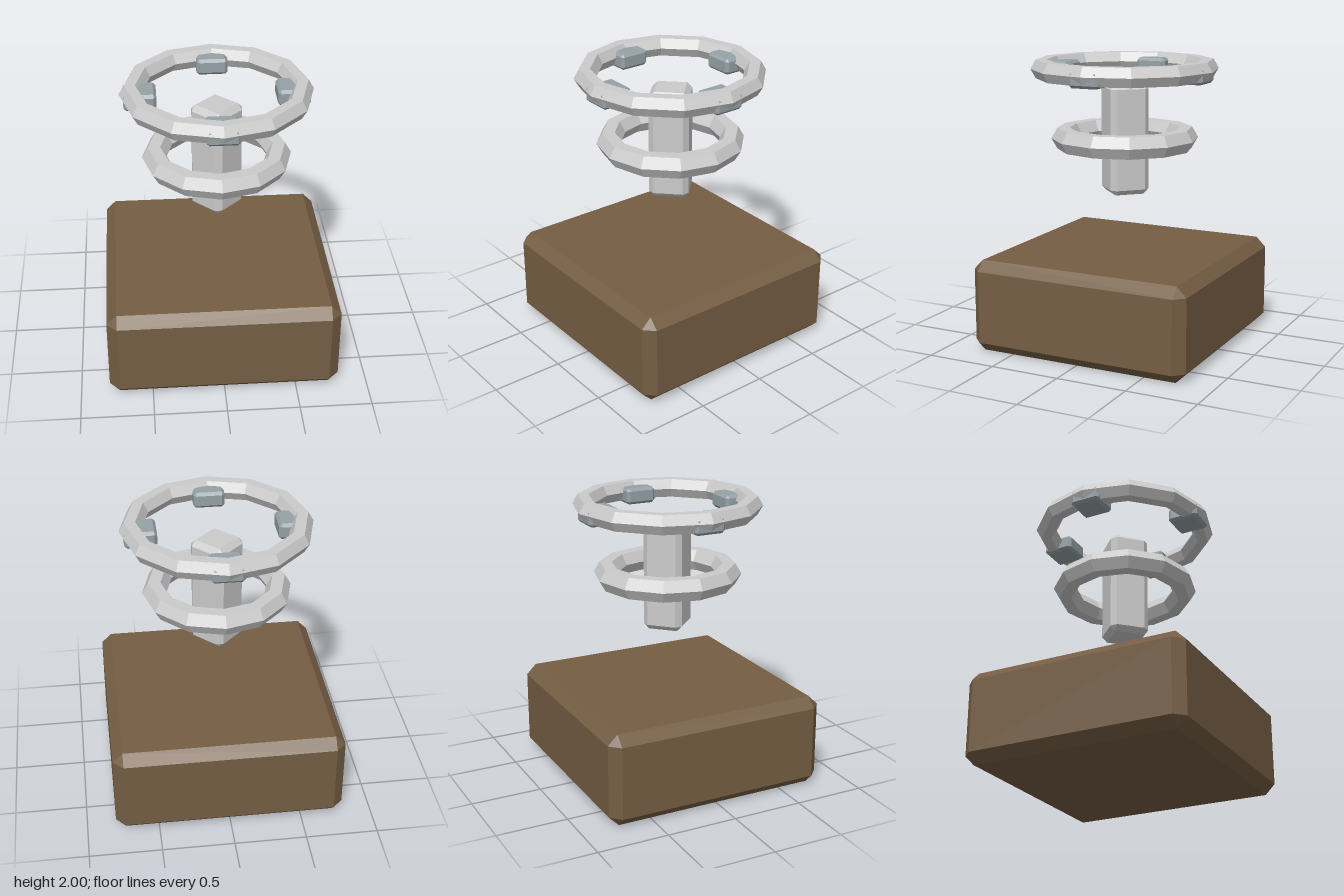
import * as THREE from 'three';
import { ConvexGeometry } from 'three/addons/geometries/ConvexGeometry.js';

const material = (color) => new THREE.MeshStandardMaterial({ color, flatShading: true });

// Box with all edges cut at 45 degrees: three points around each corner
function chamferedBox(width, height, depth, c) {
  const points = [];
  for (const sx of [-1, 1]) for (const sy of [-1, 1]) for (const sz of [-1, 1]) {
    const x = width / 2, y = height / 2, z = depth / 2;
    points.push(
      new THREE.Vector3(sx * x, sy * (y - c), sz * (z - c)),
      new THREE.Vector3(sx * (x - c), sy * y, sz * (z - c)),
      new THREE.Vector3(sx * (x - c), sy * (y - c), sz * z),
    );
  }
  return new ConvexGeometry(points);
}

// Twelve-sided ring with a hexagonal section, lying flat
function ring(radius, tube) {
  return new THREE.TorusGeometry(radius, tube, 6, 12).rotateX(Math.PI / 2);
}

export function createModel() {
  const model = new THREE.Group();
  model.name = 'floatingRingPedestal';
  const metal = material(0xcccccc);
  const darkMetal = material(0x96a2a7);
  const wood = material(0x755e44);

  function add(name, geometry, mat, y, parent = model) {
    const mesh = new THREE.Mesh(geometry, mat);
    mesh.name = name;
    mesh.position.y = y;
    parent.add(mesh);
    return mesh;
  }

  // Heavy block at the bottom
  add('base', chamferedBox(1.6, 0.65, 1.6, 0.07), wood, 0.325);

  // Floating column, turned to show its edges on the axes
  add('column', chamferedBox(0.278, 0.78, 0.278, 0.037), metal, 1.45).rotation.y = Math.PI / 4;

  // Rings around and above the column
  add('lowerRing', ring(0.43, 0.086), metal, 1.45);
  add('upperRing', ring(0.58, 0.075), metal, 1.935);

  // Four lugs set into the upper ring
  const lugs = new THREE.Group();
  lugs.name = 'lugs';
  model.add(lugs);
  const lugGeometry = chamferedBox(0.22, 0.115, 0.22, 0.02);
  for (let i = 0; i < 4; i++) {
    const angle = i * Math.PI / 2;
    const lug = add('lug', lugGeometry, darkMetal, 1.914, lugs);
    lug.position.x = Math.sin(angle) * 0.515;
    lug.position.z = Math.cos(angle) * 0.515;
    lug.rotation.y = angle;
  }
  return model;
}
